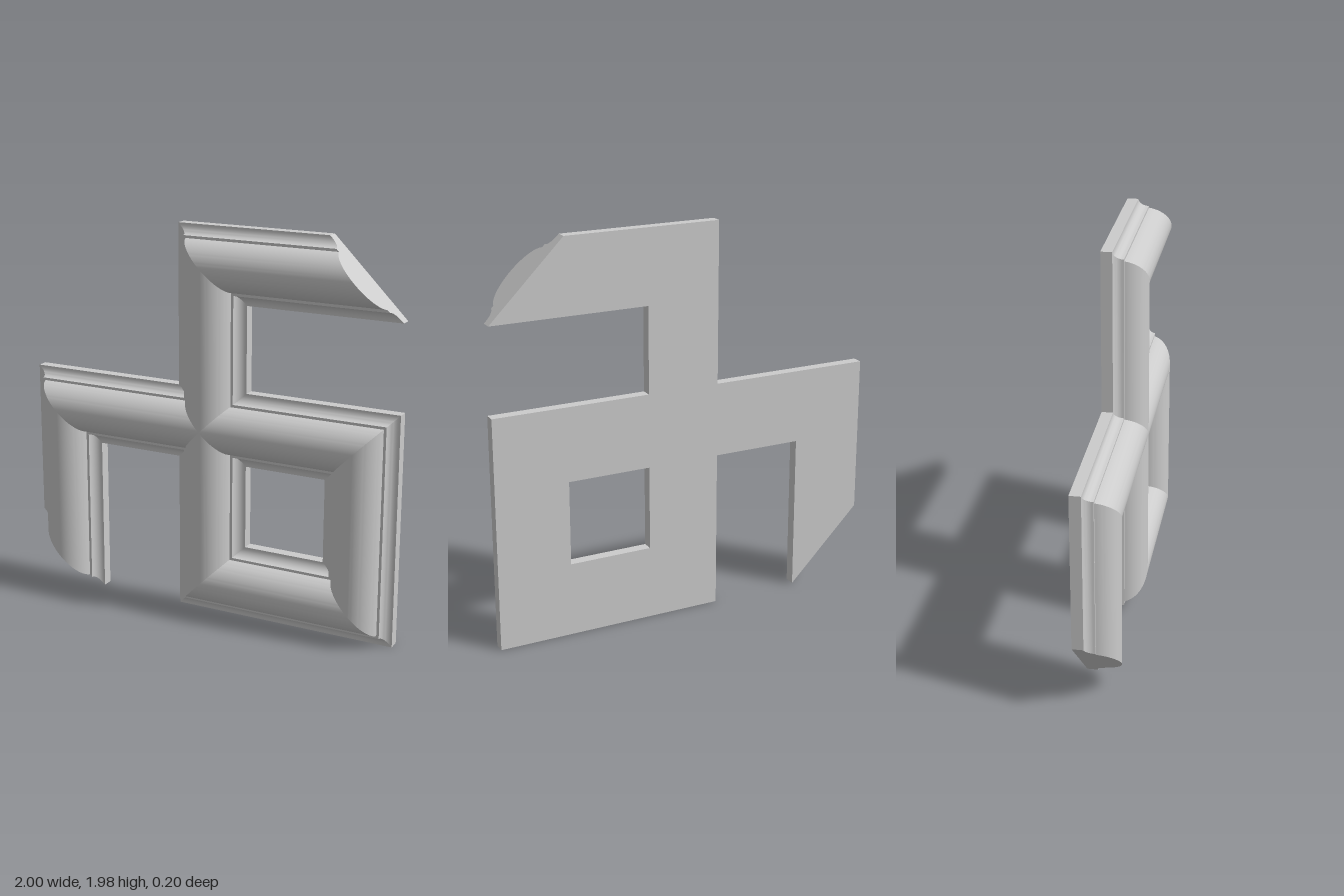
import * as THREE from 'three';
import { toCreasedNormals } from 'three/addons/utils/BufferGeometryUtils.js';

const W = 0.1865; // half width of the moulding
const BACK = -0.1;
const material = new THREE.MeshStandardMaterial({ color: 0xcccccc });

// Half of the cross-section, from the back edge up to the crest: [across, height]
function halfProfile() {
  const pts = [[W, BACK], [W, -0.045]];
  for (let i = 0; i <= 8; i++) { // cove
    const a = (i / 8) * Math.PI / 2;
    pts.push([0.18 - 0.045 * Math.sin(a), -0.045 * Math.cos(a)]);
  }
  const r = 0.1244, end = Math.asin(0.122 / r);
  for (let i = 0; i <= 20; i++) { // round
    const a = end * (1 - i / 20);
    pts.push([r * Math.sin(a), 0.1 - r + r * Math.cos(a)]);
  }
  return pts;
}

function profileShape() {
  const half = halfProfile();
  const mirrored = half.slice(0, -1).reverse().map(([v, z]) => [-v, z]);
  const pts = [...half, ...mirrored, [0, BACK]];
  return new THREE.Shape(pts.map(([v, z]) => new THREE.Vector2(v, z)));
}

// One straight length from a to b. startCut and endCut give the shift of the
// end along the length for each position across it.
function mouldingLength(name, a, b, startCut, endCut, capEnd) {
  const dir = b.clone().sub(a);
  const length = dir.length();
  dir.normalize();
  const extruded = new THREE.ExtrudeGeometry(profileShape(), { depth: 1, bevelEnabled: false });
  const src = extruded.attributes.position;
  const lids = extruded.groups[0].count;
  const out = [];
  // Mitred joints need no lids; a free end keeps the second one
  for (let i = capEnd ? lids / 2 : lids; i < src.count; i++) {
    const v = src.getX(i);
    const t = src.getZ(i) < 0.5 ? startCut(v) : length + endCut(v);
    out.push(a.x + dir.x * t - dir.y * v, a.y + dir.y * t + dir.x * v, src.getY(i));
  }
  const geometry = new THREE.BufferGeometry();
  geometry.setAttribute('position', new THREE.Float32BufferAttribute(out, 3));
  const mesh = new THREE.Mesh(toCreasedNormals(geometry, 0.5), material);
  mesh.name = name;
  return mesh;
}

// A run of lengths with mitred corners. It starts with a point at the crossing
// and ends with another point, or with a slanted free end (freeSlant = 1 or -1).
function mouldingRun(name, points, freeSlant = 0) {
  const group = new THREE.Group();
  group.name = name;
  const p = points.map(([x, y]) => new THREE.Vector2(x, y));
  const turn = (i) => Math.sign(p[i].clone().sub(p[i - 1]).cross(p[i + 1].clone().sub(p[i])));
  const last = p.length - 2;
  for (let i = 0; i <= last; i++) {
    const startCut = i === 0 ? Math.abs : (v) => turn(i) * v;
    let endCut = (v) => -turn(i + 1) * v;
    if (i === last) endCut = freeSlant ? (v) => -freeSlant * v : (v) => -Math.abs(v);
    group.add(mouldingLength(`${name}Length${i + 1}`, p[i], p[i + 1], startCut, endCut,
      i === last && freeSlant !== 0));
  }
  return group;
}

export function createModel() {
  const model = new THREE.Group();
  model.name = 'mouldingOrnament';
  const cx = 0.0175, cy = 0.985, side = 1 - W, top = 1.98 - W;
  model.add(
    mouldingRun('upperHook', [[cx, cy], [cx, top], [0.81, top]], 1),
    mouldingRun('sideHook', [[cx, cy], [-side, cy], [-side, 0.19]], -1),
    mouldingRun('squareFrame', [[cx, cy], [side, cy], [side, W], [cx, W], [cx, cy]]),
  );
  return model;
}
